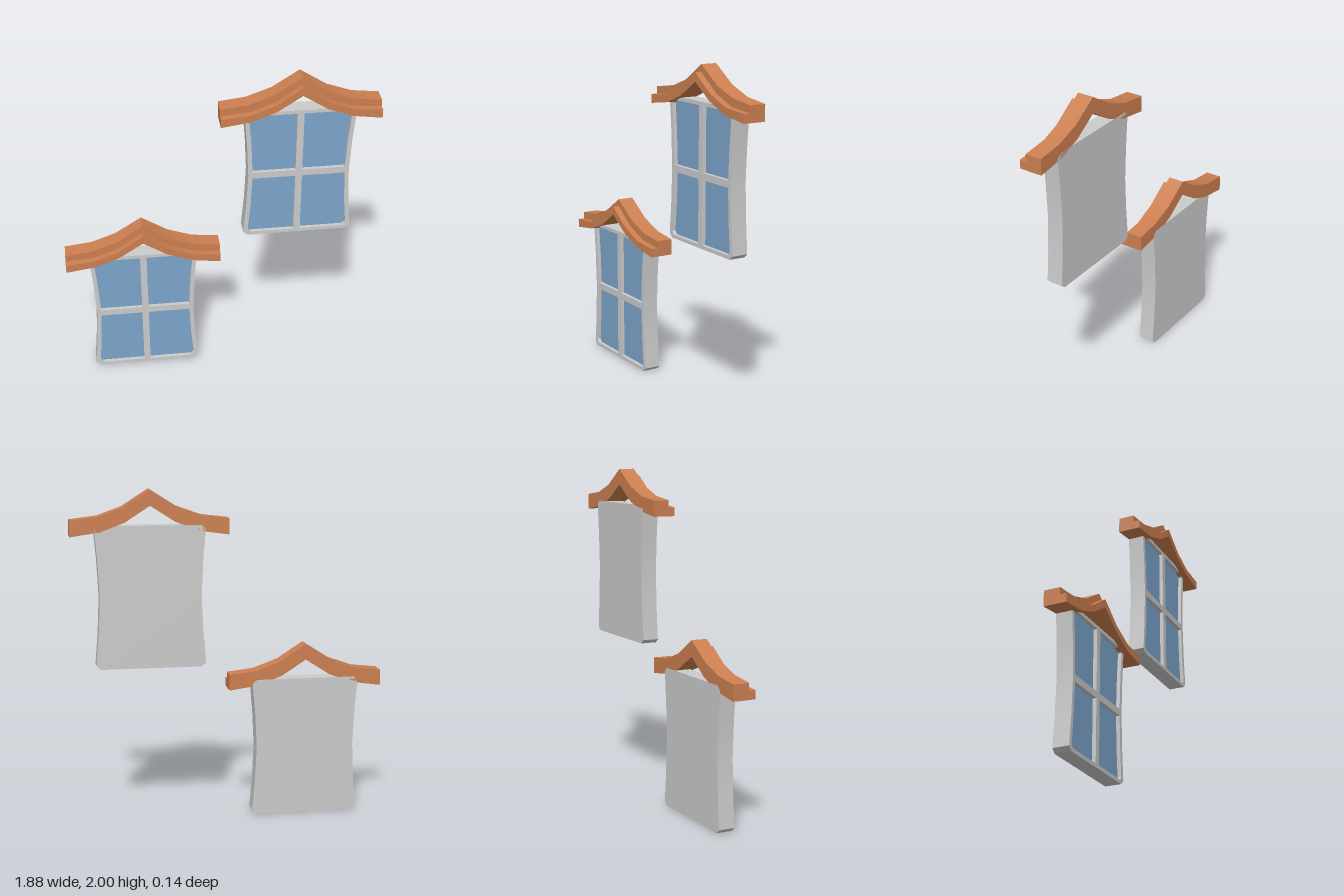
import * as THREE from 'three';
import { toCreasedNormals } from 'three/addons/utils/BufferGeometryUtils.js';

const CREASE = 0.5;
const BACK = -0.07, GLASS = 0.005, FRONT = 0.03, TRIM = 0.07;

const wood = new THREE.MeshStandardMaterial({ color: 0xcc7f50 });
const blue = new THREE.MeshStandardMaterial({ color: 0x7ba5cb });
const grey = new THREE.MeshStandardMaterial({ color: 0xcccccc });

const toVectors = (points) => points.map(([x, y]) => new THREE.Vector2(x, y));
const mirrorX = (points) => points.map(([x, y]) => [-x, y]).reverse();

// Extrudes a shape between two depths, smooth over gentle bends
function slab(name, shape, z0, z1, material) {
  const geometry = new THREE.ExtrudeGeometry(shape, { depth: z1 - z0, bevelEnabled: false });
  geometry.translate(0, 0, z0);
  const mesh = new THREE.Mesh(toCreasedNormals(geometry, CREASE), material);
  mesh.name = name;
  return mesh;
}

// Right half of the waisted frame outline, bottom to top
const side = [
  [0.3, 0], [0.327, 0.024], [0.311, 0.21], [0.301, 0.424], [0.311, 0.638], [0.327, 0.823], [0.3, 0.847],
];
// Right-hand panes, counter-clockwise from the lower inner corner
const lowerPane = [[0.02, 0.022], [0.283, 0.022], [0.3, 0.042], [0.285, 0.21], [0.276, 0.403], [0.02, 0.403]];
const upperPane = lowerPane.map(([x, y]) => [x, 0.847 - y]).reverse();

// Right half of each roof curve, ridge to eave
const roofTop = [[0, 1.057], [0.159, 0.955], [0.307, 0.902], [0.469, 0.883]];
const roofMiddle = [[0, 1.013], [0.15, 0.911], [0.3, 0.854], [0.469, 0.84]];
const roofBottom = [[0, 0.962], [0.147, 0.867], [0.293, 0.812], [0.469, 0.787]];

// Closed band between two mirrored roof curves
function roofBand(upper, lower) {
  const full = (half) => [...mirrorX(half.slice(1)), ...half];
  return new THREE.Shape(toVectors([...full(lower), ...full(upper).reverse()]));
}

function createWindow(name) {
  const window = new THREE.Group();
  window.name = name;

  // Solid backing and the raised frame with four openings
  const outline = toVectors([...side, ...mirrorX(side)]);
  const panes = [lowerPane, upperPane].flatMap((pane) => [pane, mirrorX(pane)]);
  const frame = new THREE.Shape(outline);
  frame.holes = panes.map((pane) => new THREE.Path(toVectors(pane)));
  window.add(slab('backing', new THREE.Shape(outline), BACK, GLASS, grey));
  window.add(slab('frame', frame, GLASS, FRONT, grey));

  // Recessed glass
  panes.forEach((pane) => {
    const glass = new THREE.Mesh(new THREE.ShapeGeometry(new THREE.Shape(toVectors(pane))), blue);
    glass.position.z = GLASS + 0.002;
    glass.name = 'glassPane';
    window.add(glass);
  });

  // Stepped curved roof: full-height rear beam, lower front trim
  window.add(slab('roofBeam', roofBand(roofTop, roofBottom), BACK, FRONT, wood));
  window.add(slab('roofTrim', roofBand(roofMiddle, roofBottom), FRONT, TRIM, wood));
  return window;
}

export function createModel() {
  const model = new THREE.Group();
  model.name = 'roofedWindows';

  const lower = createWindow('lowerWindow');
  lower.position.set(-0.469, 0, 0);
  const upper = createWindow('upperWindow');
  upper.position.set(0.469, 0.943, 0);

  model.add(lower, upper);
  return model;
}
